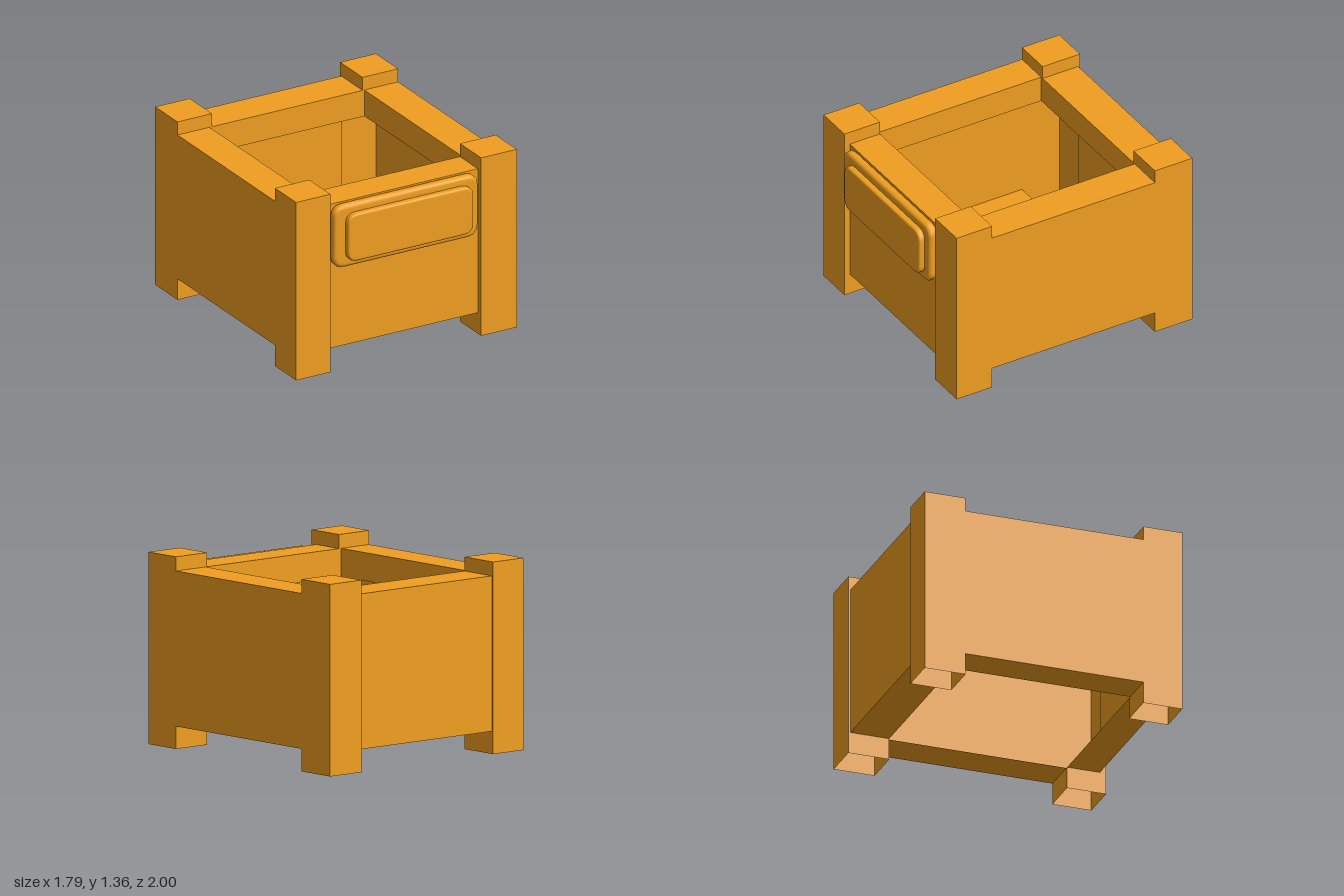
import * as THREE from 'three';
import { mergeGeometries, mergeVertices } from 'three/addons/utils/BufferGeometryUtils.js';

const material = new THREE.MeshStandardMaterial({ color: 0xf09f20, side: THREE.DoubleSide });

// Heights: leg gap, bottom of inner lip, wall top, post top
const GAP = 0.16, LIP = 1.06, WALL = 1.26, TOP = 1.36;

// Axis-aligned sheet between two corners that share one coordinate
function sheet(a, b) {
  const flat = [0, 1, 2].find((i) => a[i] === b[i]);
  const u = (flat + 1) % 3, v = (flat + 2) % 3;
  const corners = [[a, a], [b, a], [b, b], [a, b]].map(([pu, pv]) => {
    const p = [0, 0, 0];
    p[flat] = a[flat];
    p[u] = pu[u];
    p[v] = pv[v];
    return p;
  });
  const g = new THREE.BufferGeometry();
  g.setAttribute('position', new THREE.Float32BufferAttribute(corners.flat(), 3));
  g.setIndex([0, 1, 2, 0, 2, 3]);
  g.computeVertexNormals();
  return g;
}

function part(name, geometries) {
  const mesh = new THREE.Mesh(mergeGeometries(geometries), material);
  mesh.name = name;
  return mesh;
}

// Hollow post: full outer sides, inner sides only at the leg and the cap
function post(name, xo, xi, zo, zi, zWall) {
  const faces = [
    sheet([xo, 0, zo], [xo, TOP, zi]),
    sheet([xo, 0, zo], [xi, TOP, zo]),
    sheet([xi, 0, zo], [xi, TOP, zWall]),
    sheet([xo, TOP, zo], [xi, TOP, zi]),
  ];
  for (const [y0, y1] of [[0, GAP], [LIP, TOP]]) {
    faces.push(sheet([xi, y0, zWall], [xi, y1, zi]), sheet([xo, y0, zi], [xi, y1, zi]));
  }
  return part(name, faces);
}

// Hollow wall: outer panel, top rim, inner lip and bottom flange
function wall(name, alongX, outer, inner, from, to) {
  const at = (d, y, s) => (alongX ? [s, y, d] : [d, y, s]);
  return part(name, [
    sheet(at(outer, GAP, from), at(outer, WALL, to)),
    sheet(at(outer, WALL, from), at(inner, WALL, to)),
    sheet(at(inner, LIP, from), at(inner, WALL, to)),
    sheet(at(outer, GAP, from), at(inner, GAP, to)),
  ]);
}

// Softly rounded plaque with a bevelled front edge
function plaque(name, x0, x1, y0, y1, zBack, zFront, radius, bevel) {
  const l = x0 + bevel, r = x1 - bevel, b = y0 + bevel, t = y1 - bevel, c = radius;
  const s = new THREE.Shape();
  s.moveTo(l + c, b);
  s.lineTo(r - c, b);
  s.quadraticCurveTo(r, b, r, b + c);
  s.lineTo(r, t - c);
  s.quadraticCurveTo(r, t, r - c, t);
  s.lineTo(l + c, t);
  s.quadraticCurveTo(l, t, l, t - c);
  s.lineTo(l, b + c);
  s.quadraticCurveTo(l, b, l + c, b);
  let g = new THREE.ExtrudeGeometry(s, {
    depth: zFront - zBack - bevel, curveSegments: 3,
    bevelEnabled: true, bevelSize: bevel, bevelThickness: bevel, bevelSegments: 3,
  });
  g.deleteAttribute('normal');
  g.deleteAttribute('uv');
  g = mergeVertices(g, 1e-4);
  g.computeVertexNormals();
  g.translate(0, 0, zBack);
  const mesh = new THREE.Mesh(g, material);
  mesh.name = name;
  return mesh;
}

export function createModel() {
  const model = new THREE.Group();
  model.name = 'planterBox';

  // Corner posts
  for (const [side, xo, xi] of [['Left', 0.895, 0.605], ['Right', -0.9, -0.62]]) {
    model.add(post('front' + side + 'Post', xo, xi, 0.93, 0.64, 0.885));
    model.add(post('back' + side + 'Post', xo, xi, -0.995, -0.69, -0.98));
  }

  // Walls between the posts
  model.add(wall('frontWall', true, 0.885, 0.64, -0.62, 0.605));
  model.add(wall('backWall', true, -0.98, -0.69, -0.62, 0.605));
  model.add(wall('leftWall', false, 0.895, 0.62, -0.69, 0.64));
  model.add(wall('rightWall', false, -0.9, -0.64, -0.69, 0.64));

  // Stepped plaque on the front
  model.add(plaque('plaqueBase', -0.605, 0.57, 0.785, 1.257, 0.91, 0.955, 0.06, 0.025));
  model.add(plaque('plaqueFace', -0.515, 0.505, 0.835, 1.195, 0.955, 1.0, 0.06, 0.015));

  return model;
}
